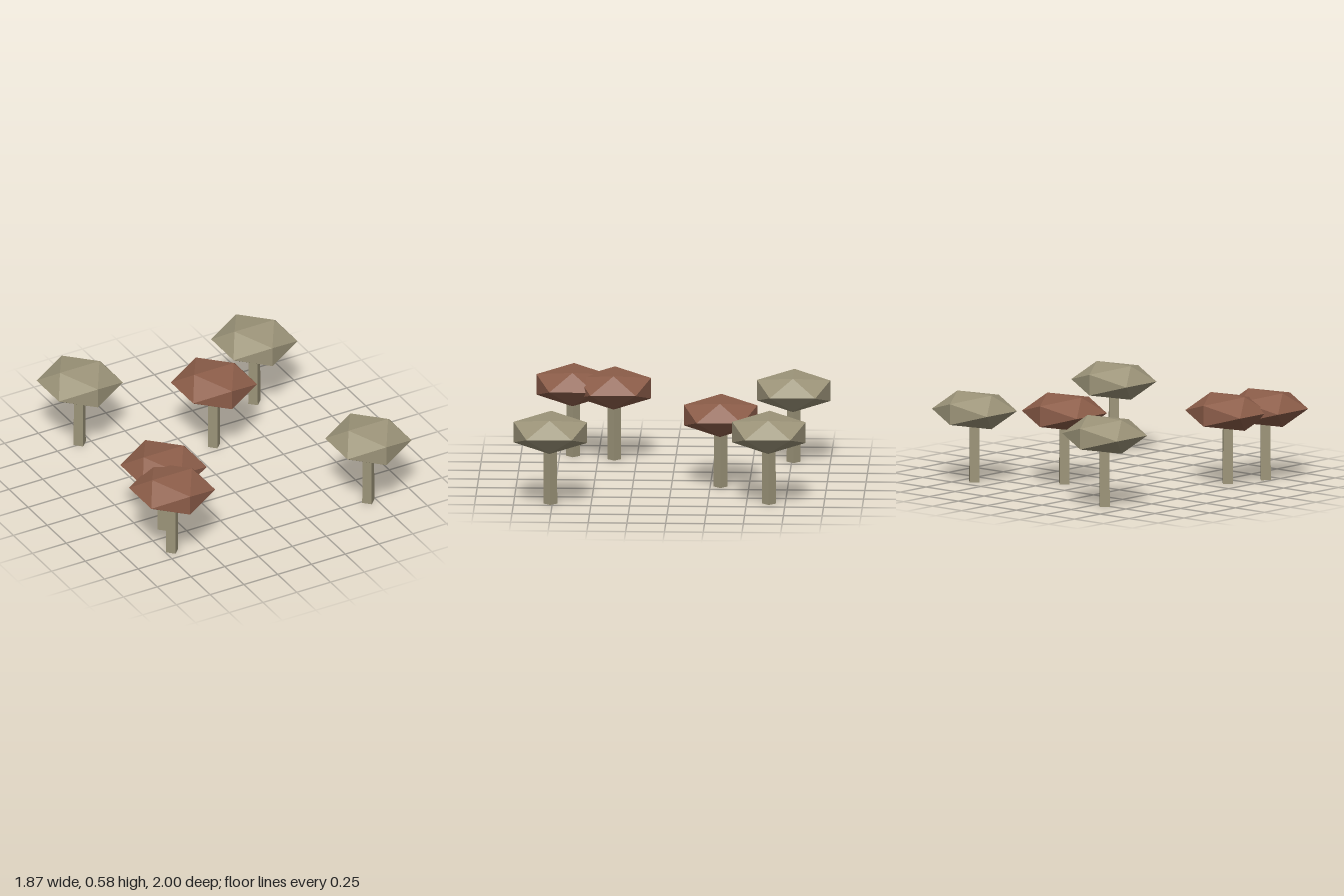
import * as THREE from 'three';

export function createModel() {
  const model = new THREE.Group();
  model.name = 'grove';

  const olive = new THREE.MeshStandardMaterial({ color: 0x9c9479, flatShading: true });
  olive.name = 'olive';
  const rust = new THREE.MeshStandardMaterial({ color: 0x8c5d49, flatShading: true });
  rust.name = 'rust';

  // Canopy: icosahedron squashed vertically
  const canopyGeometry = new THREE.IcosahedronGeometry(0.2785, 0);
  canopyGeometry.scale(1, 0.464, 1);

  // Trunk: four-sided post with a slight taper, its top hidden in the canopy
  const trunkGeometry = new THREE.CylinderGeometry(0.043, 0.045, 0.4, 4);
  trunkGeometry.translate(0, 0.2, 0);

  function addTree(name, x, z, canopyMaterial) {
    const tree = new THREE.Group();
    tree.name = name;
    tree.position.set(x, 0, z);

    const trunk = new THREE.Mesh(trunkGeometry, olive);
    trunk.name = 'trunk';

    const canopy = new THREE.Mesh(canopyGeometry, canopyMaterial);
    canopy.name = 'canopy';
    canopy.position.y = 0.47;

    tree.add(trunk, canopy);
    model.add(tree);
  }

  // Olive trees
  addTree('backRightTree', -0.578, -0.763, olive);
  addTree('backLeftTree', 0.648, -0.645, olive);
  addTree('frontLeftTree', 0.696, 0.763, olive);

  // Rust trees, two of them overlapping
  addTree('middleTree', 0.164, -0.317, rust);
  addTree('pairBackTree', -0.612, 0.395, rust);
  addTree('pairFrontTree', -0.7, 0.663, rust);

  return model;
}
